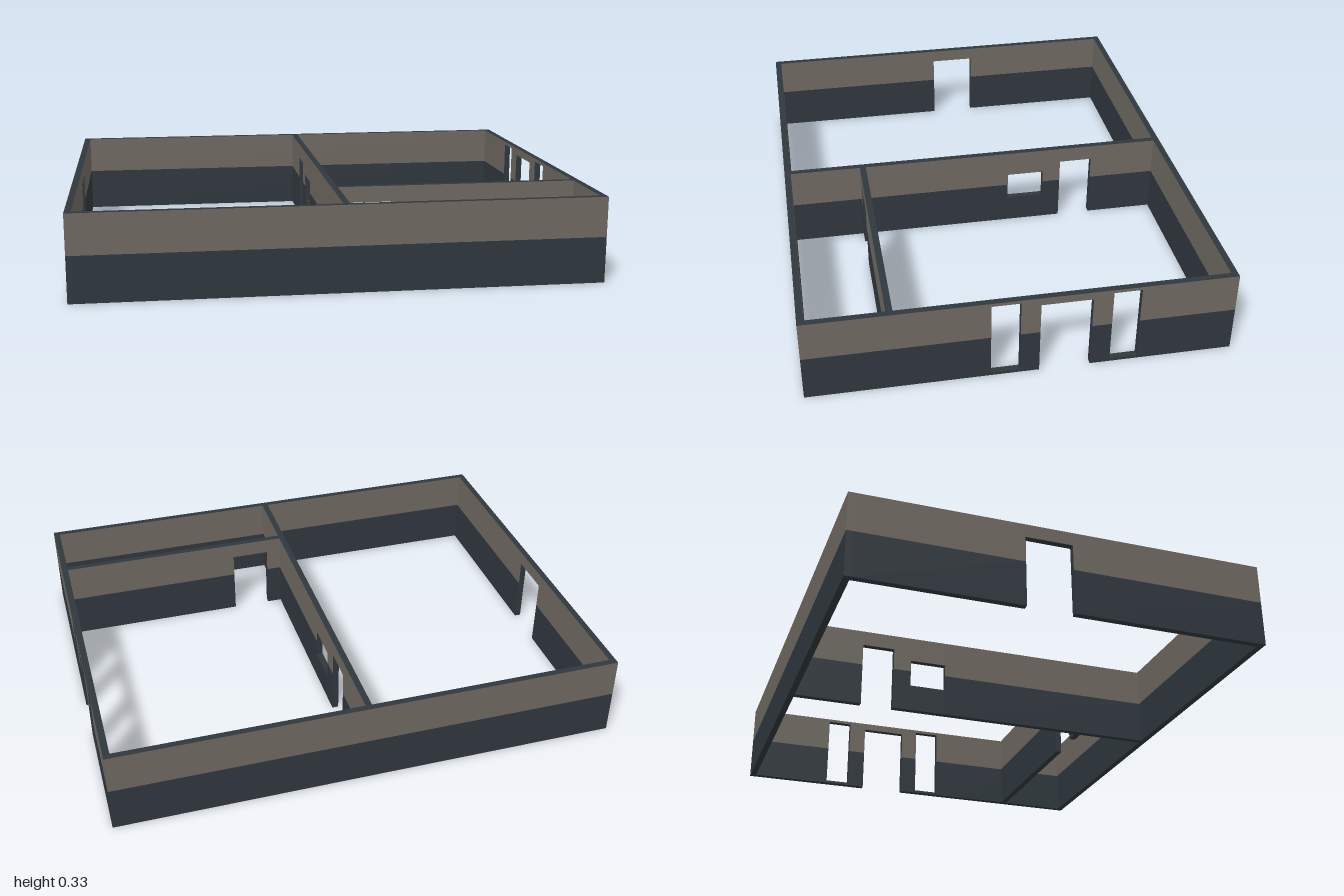
import * as THREE from 'three';

const H = 0.333;      // wall height
const SPLIT = 0.178;  // top of the dark lower band
const T = 0.025;      // wall thickness

export function createModel() {
  const model = new THREE.Group();
  model.name = 'houseWalls';
  const dark = new THREE.MeshStandardMaterial({ color: 0x2f373d });
  dark.name = 'darkSlate';
  const brown = new THREE.MeshStandardMaterial({ color: 0x6e6860 });
  brown.name = 'warmTaupe';

  // Upper band: painted on the wall faces, dark on top edges and door reveals
  const paintZ = [dark, dark, dark, dark, brown, brown];
  const paintX = [brown, brown, dark, dark, dark, dark];
  const paintAll = [brown, brown, dark, dark, brown, brown];

  function block(parent, name, size, pos, material) {
    const mesh = new THREE.Mesh(new THREE.BoxGeometry(...size), material);
    mesh.position.set(...pos);
    mesh.name = name;
    parent.add(mesh);
  }

  // Straight wall from a to b along an axis; openings are [start, end, sill, head]
  function wall(name, axis, a, b, centre, openings = []) {
    const group = new THREE.Group();
    group.name = name;
    model.add(group);
    const alongX = axis === 'x';

    const piece = (u0, u1, y0, y1, upper) => {
      if (y1 - y0 < 1e-4) return;
      const u = (u0 + u1) / 2, y = (y0 + y1) / 2, len = u1 - u0, h = y1 - y0;
      block(group, upper ? 'upperWall' : 'lowerWall',
        alongX ? [len, h, T] : [T, h, len],
        alongX ? [u, y, centre] : [centre, y, u],
        upper ? (alongX ? paintZ : paintX) : dark);
    };
    const solid = (u0, u1, y0, y1) => {
      piece(u0, u1, y0, Math.min(y1, SPLIT), false);
      piece(u0, u1, Math.max(y0, SPLIT), y1, true);
    };

    let u = a;
    for (const [start, end, sill, head] of openings) {
      solid(u, start, 0, H);
      solid(start, end, 0, sill);
      solid(start, end, head, H);
      u = end;
    }
    solid(u, b, 0, H);
  }

  const X = 1 - T, Z = 0.8 - T;

  // Outer walls
  wall('frontWall', 'x', -X, X, 0.8 - T / 2);
  wall('backWall', 'x', -X, X, -0.8 + T / 2);
  wall('entranceWall', 'z', -Z, Z, 1 - T / 2, [
    [-0.435, -0.33, 0.012, 0.32],
    [-0.255, -0.063, 0, 0.302],
    [0.01, 0.118, 0.012, 0.32],
  ]);
  wall('sideDoorWall', 'z', -Z, Z, -1 + T / 2, [[-0.148, 0.035, 0, 0.28]]);

  // Corner posts
  for (const sx of [-1, 1]) for (const sz of [-1, 1]) {
    const x = sx * (1 - T / 2), z = sz * (0.8 - T / 2);
    block(model, 'lowerCorner', [T, SPLIT, T], [x, SPLIT / 2, z], dark);
    block(model, 'upperCorner', [T, H - SPLIT, T], [x, (H + SPLIT) / 2, z], paintAll);
  }

  // Inner walls
  wall('middleWall', 'z', -Z, Z, T / 2, [
    [-0.5, -0.365, 0, 0.27],
    [-0.29, -0.138, 0.112, 0.228],
  ]);
  wall('partitionWall', 'x', T, X, 0.478, [[0.085, 0.24, 0, 0.27]]);

  return model;
}
